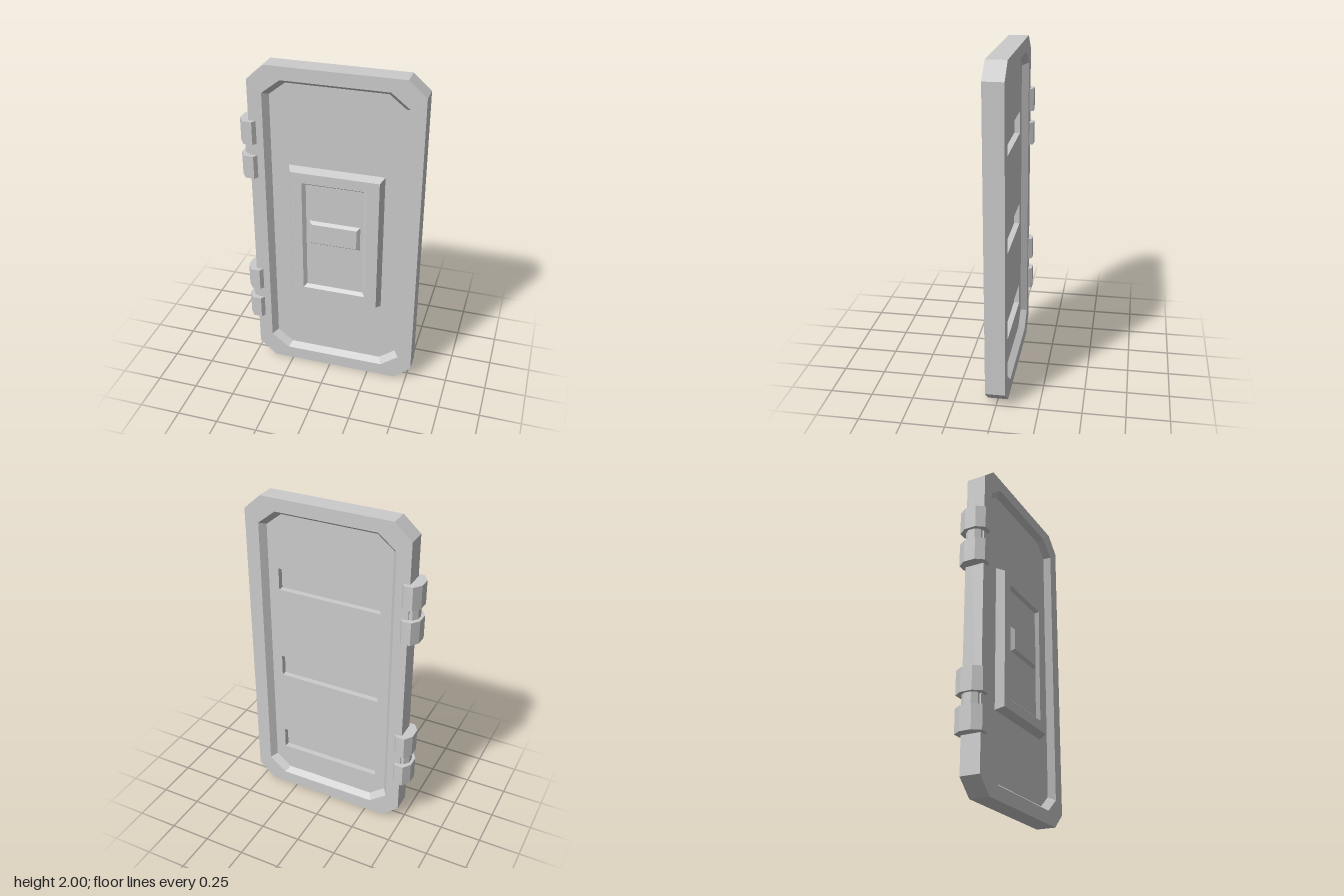
import * as THREE from 'three';

const material = new THREE.MeshStandardMaterial({ color: 0xcccccc, flatShading: true });

// Counter-clockwise rectangle, with cut corners when cx and cy are given
function outline(x0, x1, y0, y1, cx = 0, cy = 0) {
  if (!cx) return [[x0, y0], [x1, y0], [x1, y1], [x0, y1]];
  return [
    [x0 + cx, y0], [x1 - cx, y0], [x1, y0 + cy], [x1, y1 - cy],
    [x1 - cx, y1], [x0 + cx, y1], [x0, y1 - cy], [x0, y0 + cy],
  ];
}

// Joins outlines at successive depths and closes the last one
function loft(name, rings) {
  const p = [];
  const loops = rings.map(([pts, z]) => pts.map(([x, y]) => [x, y, z]));
  const n = loops[0].length;
  for (let r = 0; r < loops.length - 1; r++) {
    const a = loops[r], b = loops[r + 1];
    for (let i = 0; i < n; i++) {
      const j = (i + 1) % n;
      p.push(...a[i], ...a[j], ...b[j], ...a[i], ...b[j], ...b[i]);
    }
  }
  const cap = loops[loops.length - 1];
  for (let i = 1; i < n - 1; i++) p.push(...cap[0], ...cap[i], ...cap[i + 1]);
  const geo = new THREE.BufferGeometry();
  geo.setAttribute('position', new THREE.Float32BufferAttribute(p, 3));
  geo.computeVertexNormals();
  return named(name, geo);
}

function named(name, geo) {
  const mesh = new THREE.Mesh(geo, material);
  mesh.name = name;
  return mesh;
}

const toVectors = (pts) => pts.map(([x, y]) => new THREE.Vector2(x, y));

// Upright eight-sided barrel, half-width rx and half-depth rz
function barrel(name, x, y0, y1, rx, rz) {
  const kx = rx * 0.44, kz = rz * 0.42;
  const pts = [[-rx, -kz], [-kx, -rz], [kx, -rz], [rx, -kz], [rx, kz], [kx, rz], [-kx, rz], [-rx, kz]];
  const geo = new THREE.ExtrudeGeometry(new THREE.Shape(toVectors(pts)), { depth: y1 - y0, bevelEnabled: false });
  geo.rotateX(-Math.PI / 2);
  const mesh = named(name, geo);
  mesh.position.set(x, y0, 0);
  return mesh;
}

export function createModel() {
  const door = new THREE.Group();
  door.name = 'door';

  // Frame with a bevelled recess on both sides
  const face = 0.059, floor = 0.02;
  const outer = outline(-0.475, 0.53, 0, 2, 0.103, 0.092);
  const lip = outline(-0.39, 0.445, 0.08, 1.922, 0.108, 0.085);
  const inner = outline(-0.36, 0.415, 0.106, 1.897, 0.096, 0.076);
  door.add(loft('doorFrame', [
    [inner, -floor], [lip, -face], [outer, -face],
    [outer, face], [lip, face], [inner, floor],
  ]));

  // Back panel with three horizontal slots
  const slotDepth = 0.035, slotX0 = -0.294, slotX1 = 0.35, slotH = 0.137;
  const panel = new THREE.Shape(toVectors(inner));
  for (const y of [0.267, 0.83, 1.423]) {
    panel.holes.push(new THREE.Path(toVectors(outline(slotX0, slotX1, y, y + slotH).reverse())));
    const bottom = named('slotBottom', new THREE.BoxGeometry(slotX1 - slotX0, slotH, 0.003));
    bottom.position.set((slotX0 + slotX1) / 2, y + slotH / 2, -floor + slotDepth + 0.0015);
    door.add(bottom);
  }
  const backGeo = new THREE.ExtrudeGeometry(panel, { depth: slotDepth, bevelEnabled: false });
  backGeo.translate(0, 0, -floor);
  door.add(named('backPanel', backGeo));

  // Raised front plate, its shallow recess and the raised latch block
  door.add(loft('latchPlate', [
    [outline(-0.255, 0.315, 0.51, 1.4), floor],
    [outline(-0.235, 0.295, 0.53, 1.38), 0.07],
    [outline(-0.165, 0.222, 0.592, 1.317), 0.07],
    [outline(-0.146, 0.203, 0.61, 1.303), 0.05],
    [outline(-0.126, 0.184, 0.91, 1.065), 0.05],
    [outline(-0.108, 0.166, 0.925, 1.05), 0.07],
  ]));

  // Two hinges, each with two knuckles and a pin
  for (const y of [0.31, 1.31]) {
    const hinge = new THREE.Group();
    hinge.name = 'hinge';
    hinge.add(barrel('lowerKnuckle', -0.475, y, y + 0.141, 0.06, 0.083));
    hinge.add(barrel('upperKnuckle', -0.475, y + 0.215, y + 0.355, 0.06, 0.083));
    hinge.add(barrel('pin', -0.475, y + 0.141, y + 0.215, 0.042, 0.05));
    door.add(hinge);
  }
  return door;
}
